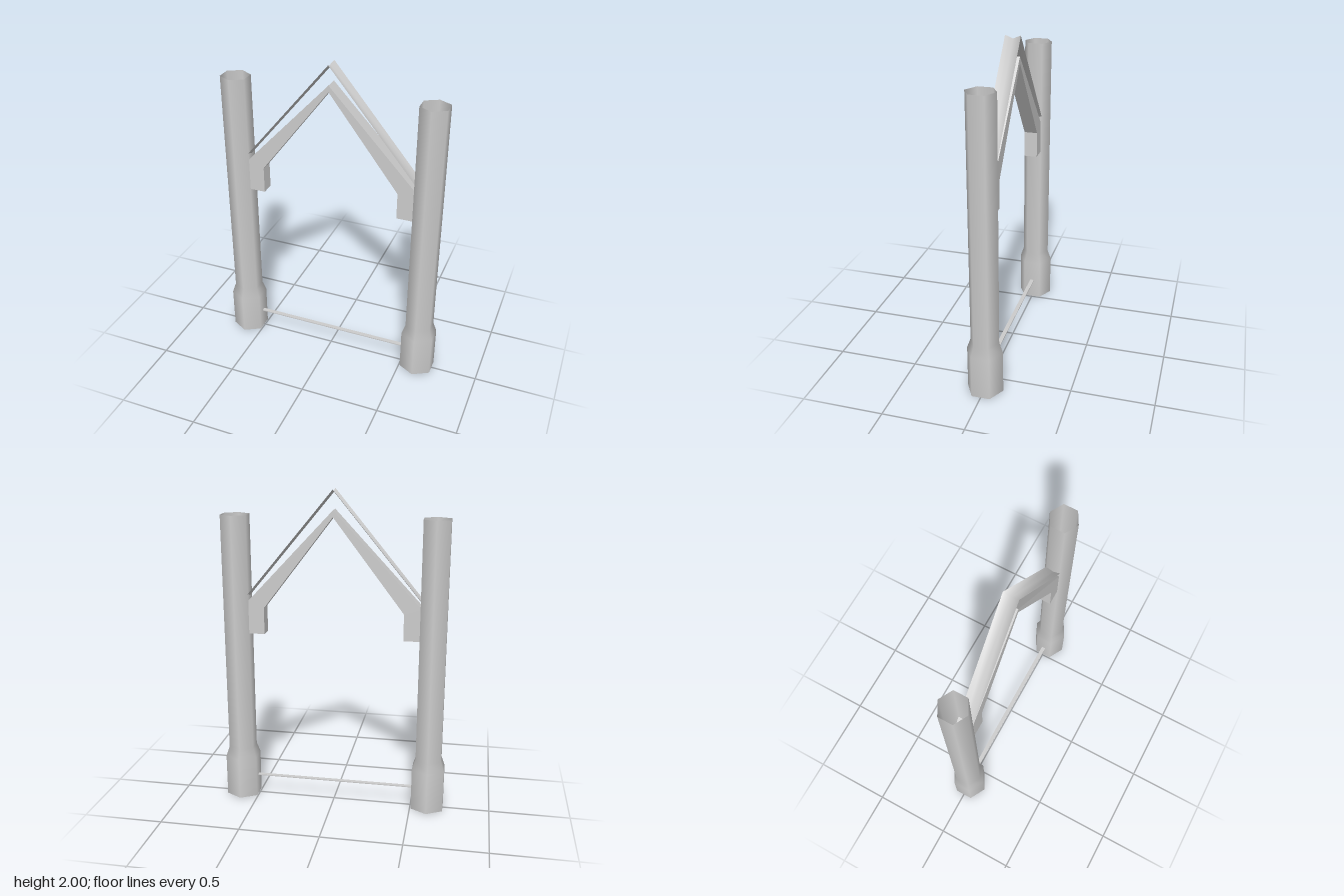
import * as THREE from 'three';

const grey = new THREE.MeshStandardMaterial({ color: 0xcccccc, side: THREE.DoubleSide });

function addMesh(group, name, geometry) {
  const mesh = new THREE.Mesh(geometry, grey);
  mesh.name = name;
  group.add(mesh);
  return mesh;
}

export function createModel() {
  const group = new THREE.Group();
  group.name = 'archway';

  // Hollow six-sided posts with a wider foot
  const profile = [[0.1155, 0], [0.1155, 0.27], [0.0917, 0.335], [0.0917, 1.84]]
    .map(([r, y]) => new THREE.Vector2(r, y));
  for (const side of [-1, 1]) {
    const post = addMesh(group, side > 0 ? 'leftPost' : 'rightPost', new THREE.LatheGeometry(profile, 6));
    post.position.x = side * 0.607;
    post.scale.z = 0.96;
  }

  // Pointed rafter beam with a short bracket at each end
  const half = [[0, 1.88], [0.535, 1.31], [0.535, 1.11], [0.43, 1.11], [0.43, 1.275], [0, 1.84]];
  const mirrored = half.slice(1, 5).reverse().map(([x, y]) => [-x, y]);
  const outline = [...half, ...mirrored].map(([x, y]) => new THREE.Vector2(x, y));
  const beam = new THREE.ExtrudeGeometry(new THREE.Shape(outline), { depth: 0.084, bevelEnabled: false });
  beam.translate(0, 0, -0.042);
  addMesh(group, 'rafterBeam', beam);

  // Thin roof strip: folded at the ridge, with a shallow groove along its middle
  const strip = new THREE.PlaneGeometry(1.22, 0.094, 2, 2).rotateX(-Math.PI / 2);
  const p = strip.attributes.position;
  for (let i = 0; i < p.count; i++) {
    const groove = Math.abs(p.getZ(i)) < 0.01 ? 0.018 : 0;
    p.setY(i, 2 - 1.21 * Math.abs(p.getX(i)) - groove);
  }
  strip.computeVertexNormals();
  addMesh(group, 'roofStrip', strip);

  // Flat tie bar between the feet
  addMesh(group, 'tieBar', new THREE.BoxGeometry(1.02, 0.006, 0.026)).position.y = 0.13;

  return group;
}
